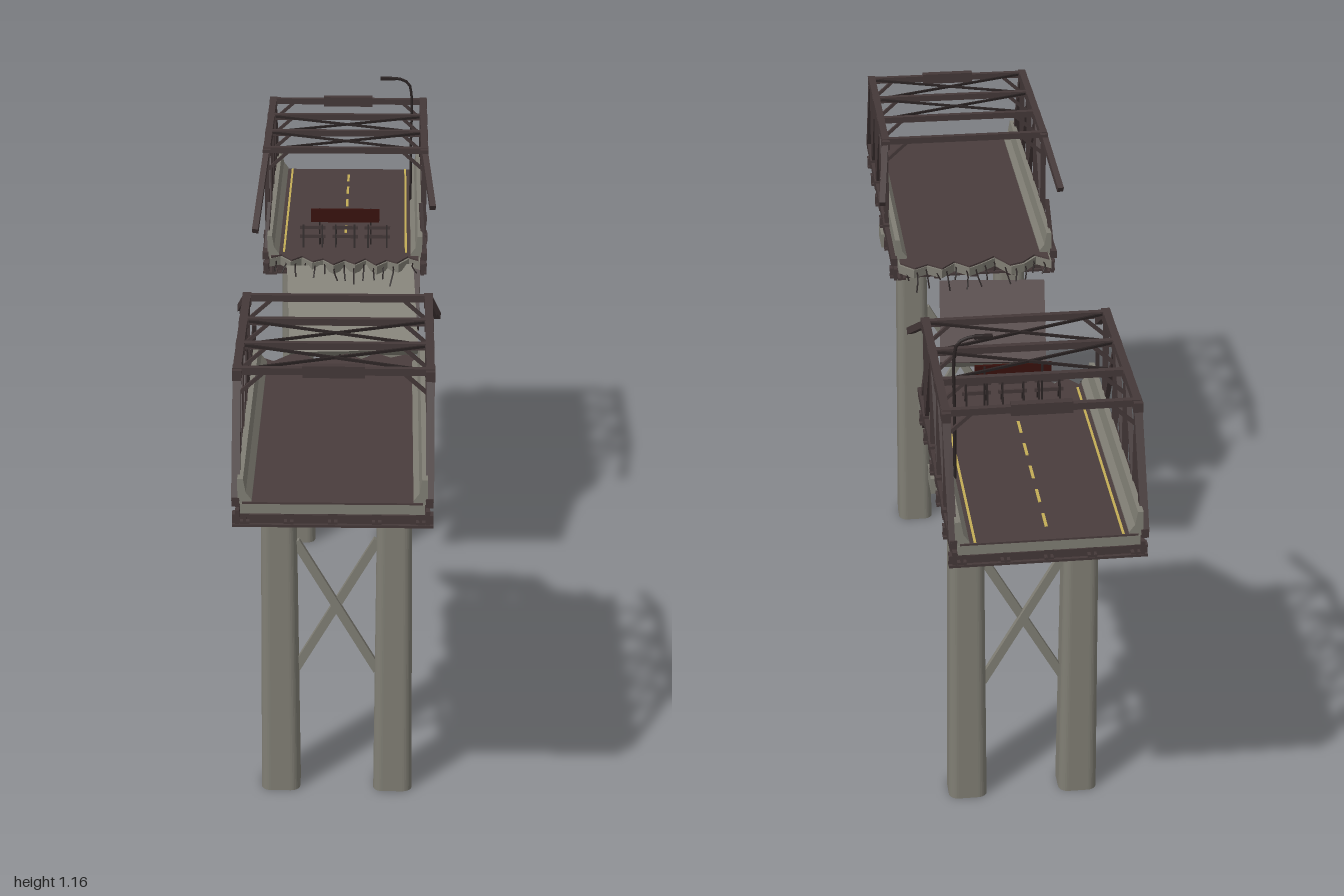
import * as THREE from 'three';

const mat = (name, color, double) => {
  const m = new THREE.MeshStandardMaterial({ color });
  m.name = name;
  if (double) m.side = THREE.DoubleSide;
  return m;
};

export function createModel() {
  const concrete = mat('concrete', 0x807e74);
  const asphalt = mat('asphalt', 0x4a3d3d);
  const steel = mat('weathered steel', 0x443838);
  const iron = mat('dark iron', 0x2a2323);
  const red = mat('warning red', 0x38110d);
  const yellow = mat('road paint', 0xc2ac55);

  const root = new THREE.Group();
  root.name = 'brokenBridge';
  let seed = 7;
  const rnd = () => (seed = (seed * 16807) % 2147483647) / 2147483647;

  const add = (parent, name, geo, m) => {
    const mesh = new THREE.Mesh(geo, m);
    mesh.name = name;
    parent.add(mesh);
    return mesh;
  };
  const box = (parent, name, m, w, h, d, x, y, z) => {
    const b = add(parent, name, new THREE.BoxGeometry(w, h, d), m);
    b.position.set(x, y, z);
    return b;
  };
  // Straight member between two points
  const beam = (parent, name, m, a, b, w, h = w) => {
    const p = new THREE.Vector3(...a), q = new THREE.Vector3(...b);
    const mesh = add(parent, name, new THREE.BoxGeometry(w, h, p.distanceTo(q)), m);
    mesh.position.copy(p).add(q).multiplyScalar(0.5);
    mesh.lookAt(q);
    return mesh;
  };

  // I-section extruded along z, centred
  const iBeam = (w, h, len) => {
    const t = h * 0.2, v = w * 0.15, a = w / 2, b = h / 2;
    const pts = [[-a, -b], [a, -b], [a, t - b], [v, t - b], [v, b - t], [a, b - t],
      [a, b], [-a, b], [-a, b - t], [-v, b - t], [-v, t - b], [-a, t - b]];
    const shape = new THREE.Shape(pts.map(p => new THREE.Vector2(...p)));
    return new THREE.ExtrudeGeometry(shape, { depth: len, bevelEnabled: false }).translate(0, 0, -len / 2);
  };

  // Tapered column with a rounded square section
  const columnGeo = () => {
    const a = 0.041, r = 0.02, H = 0.757;
    const s = new THREE.Shape();
    s.moveTo(a, -a + r);
    s.lineTo(a, a - r); s.absarc(a - r, a - r, r, 0, Math.PI / 2);
    s.lineTo(-a + r, a); s.absarc(-a + r, a - r, r, Math.PI / 2, Math.PI);
    s.lineTo(-a, -a + r); s.absarc(-a + r, -a + r, r, Math.PI, Math.PI * 1.5);
    s.lineTo(a - r, -a); s.absarc(a - r, -a + r, r, Math.PI * 1.5, Math.PI * 2);
    const g = new THREE.ExtrudeGeometry(s, { depth: H, bevelEnabled: false, curveSegments: 4 });
    g.rotateX(-Math.PI / 2);
    const p = g.attributes.position;
    for (let i = 0; i < p.count; i++) {
      const k = 1 - 0.14 * p.getY(i) / H;
      p.setX(i, p.getX(i) * k);
      p.setZ(i, p.getZ(i) * k);
    }
    g.computeVertexNormals();
    return g;
  };

  // Deck layer with a torn edge
  const deckLayer = (s, halfW, edge, y, h) => {
    const pts = [[-halfW, 0.992], [halfW, 0.992]];
    const n = edge.length - 1;
    for (let i = n; i >= 0; i--) pts.push([-halfW + 2 * halfW * i / n, edge[i]]);
    const shape = new THREE.Shape(pts.map(([x, z]) => new THREE.Vector2(x, -s * z)));
    return new THREE.ExtrudeGeometry(shape, { depth: h, bevelEnabled: false })
      .rotateX(-Math.PI / 2).translate(0, y, 0);
  };

  const nodes = [0.866, 0.738, 0.61, 0.48];
  const lowY = 0.845, topY = 1.064, X = 0.185;

  const buildHalf = (s, name, edge, railEnd, steelEnd) => {
    const g = new THREE.Group();
    g.name = name;
    root.add(g);

    // Pier
    for (const x of [-0.119, 0.119]) add(g, 'column', columnGeo(), concrete).position.set(x, 0, s * 0.6);
    box(g, 'pierCap', concrete, 0.385, 0.034, 0.064, 0, 0.771, s * 0.6);
    for (const k of [-1, 1])
      beam(g, 'pierBrace', concrete, [k * -0.085, 0.575, s * (0.6 + k * 0.004)], [k * 0.085, 0.275, s * (0.6 + k * 0.004)], 0.012, 0.018);

    // Deck, paving and steel below
    add(g, 'deckSlab', deckLayer(s, 0.176, edge, 0.822, 0.02), concrete);
    add(g, 'paving', deckLayer(s, 0.172, edge.map(z => z + 0.004), 0.842, 0.004), asphalt);
    const len = 0.99 - steelEnd, mid = s * (0.99 + steelEnd) / 2;
    for (const x of [-0.168, -0.084, 0, 0.084, 0.168])
      add(g, 'stringer', iBeam(0.018, 0.024, len), steel).position.set(x, 0.811, mid);
    for (const z of [0.975, ...nodes, steelEnd + 0.04]) {
      const f = add(g, 'floorBeam', iBeam(0.02, 0.026, 0.385), steel);
      f.rotation.y = Math.PI / 2;
      f.position.set(0, 0.803, s * z);
    }

    for (const k of [-1, 1]) {
      // Sloped concrete barrier
      const prof = [[0.181, 0.842], [0.181, 0.893], [0.17, 0.893], [0.165, 0.865], [0.154, 0.85], [0.154, 0.842]];
      const bl = 0.99 - railEnd;
      const bg = new THREE.ExtrudeGeometry(new THREE.Shape(prof.map(([x, y]) => new THREE.Vector2(k * x, y))),
        { depth: bl, bevelEnabled: false });
      add(g, 'barrier', bg, concrete).position.z = s > 0 ? railEnd : -0.99;

      // Side truss
      const x = k * X;
      const low = z => [x, lowY, s * z], top = z => [x, topY, s * z];
      beam(g, 'bottomChord', steel, low(0.992), low(steelEnd), 0.014, 0.018);
      box(g, 'edgeGirder', steel, 0.008, 0.028, len, k * 0.182, 0.813, mid);
      beam(g, 'topChord', steel, top(0.872), top(0.474), 0.016);
      beam(g, 'endPost', steel, low(0.985), top(0.866), 0.016);
      for (const z of nodes) {
        beam(g, 'vertical', steel, low(z), top(z), 0.011);
        box(g, 'gusset', steel, 0.018, 0.02, 0.034, x, topY - 0.004, s * z);
        box(g, 'gusset', steel, 0.018, 0.022, 0.034, x, lowY + 0.004, s * z);
        beam(g, 'kneeBrace', steel, [x, 1.015, s * z], [k * 0.135, 1.06, s * z], 0.007);
      }
      beam(g, 'diagonal', steel, low(nodes[0]), top(nodes[1]), 0.01);
      beam(g, 'diagonal', steel, low(nodes[1]), top(nodes[2]), 0.01);
      beam(g, 'diagonal', steel, top(nodes[2]), low(nodes[3]), 0.01);

      // Torn members drooping outward
      const end = s > 0 ? [k * 0.206, k > 0 ? 0.97 : 0.985, 0.335] : [k * 0.204, k > 0 ? 0.975 : 0.94, k > 0 ? -0.33 : -0.262];
      beam(g, 'tornChord', steel, top(0.48), end, 0.014);
      if (k === -s || s < 0)
        beam(g, 'tornPost', steel, low(steelEnd + 0.03), [k * 0.177, 0.955, s * (steelEnd + 0.068)], 0.008);
      if (s > 0) beam(g, 'tornDiagonal', steel, top(0.48), [k * 0.2, 1.0, 0.405], 0.009);
    }

    // Overhead struts and cross bracing
    for (const z of nodes) beam(g, 'topStrut', steel, [-X, 1.065, s * z], [X, 1.065, s * z], 0.012, 0.014);
    box(g, 'portalPanel', steel, 0.12, 0.024, 0.016, 0, 1.065, s * 0.866);
    const bays = s > 0 ? [0, 1] : [1, 2];
    for (const i of bays) for (const k of [-1, 1])
      beam(g, 'windBrace', iron, [-k * X, 1.066, s * nodes[i]], [k * X, 1.066, s * nodes[i + 1]], 0.005);

    // Bent reinforcing bars at the break
    for (let i = 0; i < 15; i++) {
      const x = -0.16 + i * 0.0228, z = edge[Math.round(i / 14 * (edge.length - 1))];
      const l = 0.02 + rnd() * 0.025, dx = (rnd() - 0.5) * 0.02;
      const pts = [[x, 0.832, s * (z + 0.02)], [x, 0.832, s * (z - l * 0.6)], [x + dx, 0.828 - rnd() * 0.03, s * (z - l)]];
      const curve = new THREE.CatmullRomCurve3(pts.map(p => new THREE.Vector3(...p)));
      add(g, 'rebar', new THREE.TubeGeometry(curve, 5, 0.0017, 4), iron);
    }
    return g;
  };

  buildHalf(1, 'frontSpan', [0.26, 0.286, 0.25, 0.238, 0.288, 0.262, 0.24, 0.27, 0.236, 0.262, 0.243, 0.275], 0.3, 0.285);
  const back = buildHalf(-1, 'backSpan',
    [0.345, 0.36, 0.325, 0.352, 0.318, 0.335, 0.3, 0.33, 0.305, 0.338, 0.298, 0.33, 0.312, 0.352, 0.33], 0.36, 0.355);

  // Fallen deck slabs
  const slab = (name, w, l, pos, rx, ry, paved) => {
    const g = new THREE.Group();
    g.name = name;
    g.position.set(...pos);
    g.rotation.set(rx, ry, 0, 'YXZ');
    box(g, 'slabConcrete', concrete, w, 0.018, l, 0, 0, 0);
    if (paved) box(g, 'slabPaving', asphalt, w, 0.004, l, 0, 0.011, 0);
    root.add(g);
  };
  slab('frontFallenSlab', 0.24, 0.212, [-0.026, 0.744, 0.148], -0.62, -0.1, true);
  slab('backFallenSlab', 0.295, 0.245, [0.019, 0.758, -0.237], 0.58, 0.06, false);
  beam(back, 'hangingStringer', steel, [0.168, 0.812, -0.36], [0.165, 0.71, -0.245], 0.018, 0.024);

  // Road markings
  for (const x of [-0.143, 0.143]) box(back, 'edgeLine', yellow, 0.005, 0.002, 0.61, x, 0.8465, -0.685);
  for (let z = -0.92; z < -0.45; z += 0.095) box(back, 'centreDash', yellow, 0.006, 0.002, 0.05, 0, 0.8465, z);

  // Street lamp
  const lampPath = new THREE.CatmullRomCurve3([[0.155, 0.85], [0.155, 1.0], [0.155, 1.12], [0.148, 1.148], [0.125, 1.16], [0.1, 1.161]]
    .map(([x, y]) => new THREE.Vector3(x, y, -0.743)));
  add(back, 'lampPost', new THREE.TubeGeometry(lampPath, 24, 0.0035, 6), iron);
  box(back, 'lampHead', iron, 0.036, 0.006, 0.012, 0.098, 1.16, -0.743);

  // Road closure barricades and warning board
  for (const x of [-0.076, 0, 0.076]) {
    for (const y of [0.87, 0.892]) box(back, 'barricadeBoard', steel, 0.06, 0.008, 0.005, x, y, -0.425);
    for (const k of [-0.022, 0.022]) for (const d of [-1, 1])
      beam(back, 'barricadeLeg', iron, [x + k, 0.846, -0.425 + d * 0.012], [x + k, 0.898, -0.425], 0.004);
  }
  box(back, 'warningBoard', red, 0.16, 0.032, 0.006, 0, 0.92, -0.43);
  for (const x of [-0.06, 0.06]) box(back, 'boardPost', iron, 0.004, 0.09, 0.004, x, 0.89, -0.436);

  return root;
}
